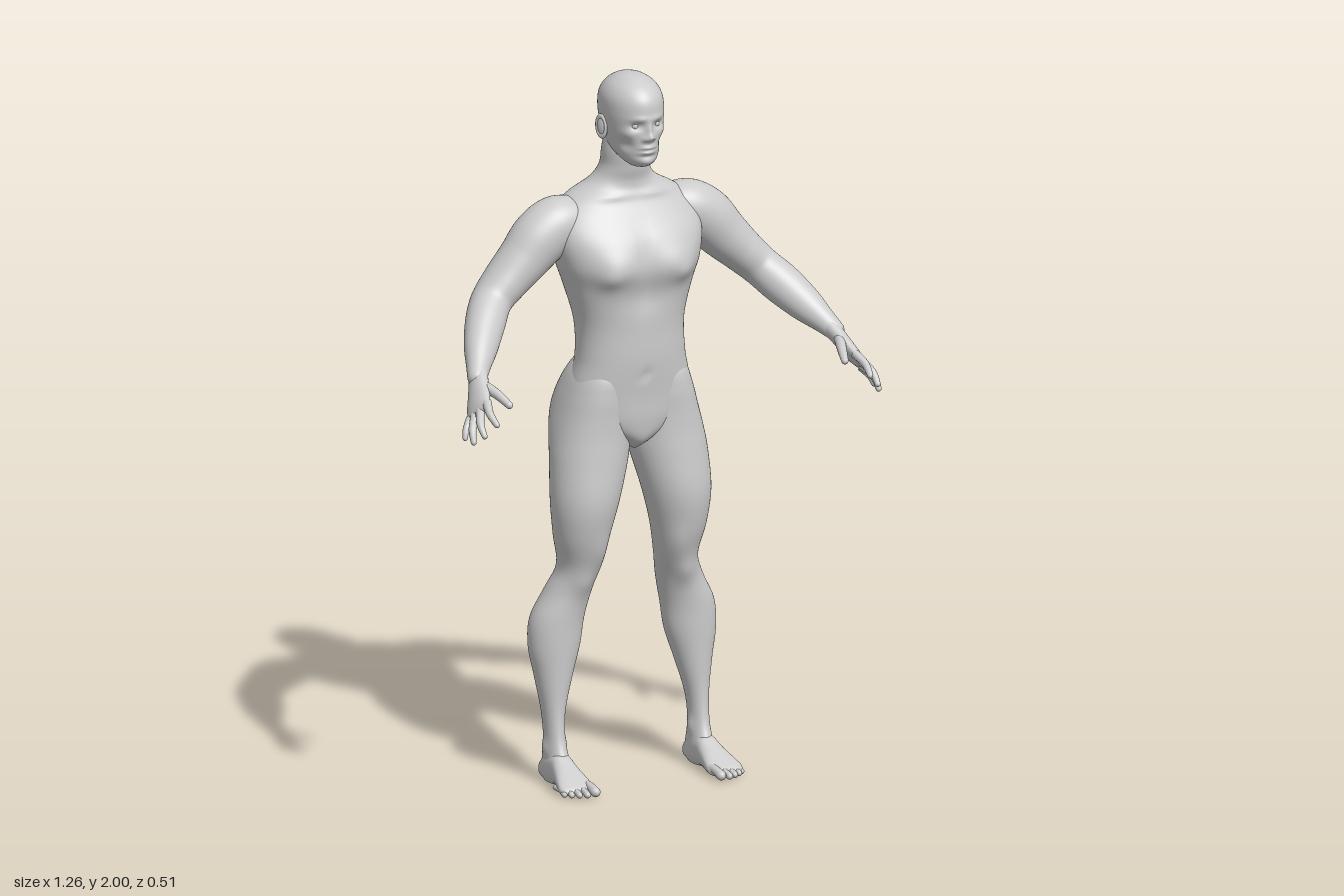
import * as THREE from 'three';

const material = new THREE.MeshStandardMaterial({ color: 0xcccccc, side: THREE.DoubleSide });
const V = (x, y, z) => new THREE.Vector3(x, y, z);

// Catmull-Rom interpolation of rows of numbers
function smooth(rows, sub) {
  const out = [], last = rows.length - 1;
  for (let i = 0; i < last; i++) {
    const [p, a, b, q] = [rows[Math.max(i - 1, 0)], rows[i], rows[i + 1], rows[Math.min(i + 2, last)]];
    for (let k = 0; k < sub; k++) {
      const t = k / sub;
      out.push(a.map((_, n) => 0.5 * (2 * a[n] + (b[n] - p[n]) * t + (2 * p[n] - 5 * a[n] + 4 * b[n] - q[n]) * t * t
        + (3 * a[n] - p[n] - 3 * b[n] + q[n]) * t * t * t)));
    }
  }
  out.push(rows[last]);
  return out;
}

// Skin closed rings of points into one smooth surface
function loft(rings) {
  const n = rings[0].length, pos = [], index = [];
  rings.forEach((ring) => ring.forEach((p) => pos.push(p.x, p.y, p.z)));
  for (let i = 0; i < rings.length - 1; i++) {
    for (let j = 0; j < n; j++) {
      const a = i * n + j, b = i * n + (j + 1) % n;
      index.push(a, a + n, b, b, a + n, b + n);
    }
  }
  const g = new THREE.BufferGeometry();
  g.setAttribute('position', new THREE.Float32BufferAttribute(pos, 3));
  g.setIndex(index);
  g.computeVertexNormals();
  return g;
}

// Rows [station, x0, x1, d0, d1, power]: level rings stacked along y, or upright rings along z
function body(rows, sub, seg, alongZ = false) {
  return loft(smooth(rows, sub).map(([s, x0, x1, d0, d1, p]) => Array.from({ length: seg }, (_, j) => {
    const a = (j / seg) * Math.PI * 2, c = Math.cos(a), w = Math.sin(a);
    const x = (x0 + x1) / 2 + (x1 - x0) / 2 * Math.sign(c) * Math.abs(c) ** p;
    const e = (d1 - d0) / 2 * Math.sign(w) * Math.abs(w) ** p;
    return alongZ ? V(x, (d0 + d1) / 2 - e, s) : V(x, s, (d0 + d1) / 2 + e);
  })));
}

// Rows [x, y, z, radiusAcross, radiusThrough] along a path, with a rounded tip
function limb(rows, across, sub = 5, seg = 16) {
  const path = smooth(rows, sub), n = path.length - 1;
  const at = (i) => V(...path[Math.min(Math.max(i, 0), n)]);
  const rings = [];
  const ring = (i, scale, push) => {
    const t = at(i + 1).sub(at(i - 1)).normalize();
    const side = across.clone().addScaledVector(t, -across.dot(t)).normalize();
    const up = side.clone().cross(t), [, , , ra, rb] = path[i];
    rings.push(Array.from({ length: seg }, (_, j) => {
      const a = (j / seg) * Math.PI * 2;
      return at(i).addScaledVector(t, push * rb).addScaledVector(side, Math.cos(a) * ra * scale)
        .addScaledVector(up, Math.sin(a) * rb * scale);
    }));
  };
  for (let i = 0; i <= n; i++) ring(i, 1, 0);
  for (let k = 1; k <= 4; k++) ring(n, Math.cos(k * Math.PI / 8), Math.sin(k * Math.PI / 8));
  return loft(rings);
}

// Soft bumps [x, y, z, sizeX, sizeY, sizeZ, moveX, moveY, moveZ], mirrored when symmetric
function sculpt(g, bumps, symmetric = true) {
  const p = g.attributes.position;
  for (const [x, y, z, sx, sy, sz, mx, my, mz] of bumps) {
    for (const s of symmetric && x ? [1, -1] : [1]) {
      for (let i = 0; i < p.count; i++) {
        const a = p.getX(i), b = p.getY(i), c = p.getZ(i);
        const f = Math.exp(-(((a - s * x) / sx) ** 2) - ((b - y) / sy) ** 2 - ((c - z) / sz) ** 2);
        p.setXYZ(i, a + s * mx * f, b + my * f, c + mz * f);
      }
    }
  }
  g.computeVertexNormals();
  return g;
}

function mirrored(g) {
  const m = g.clone().scale(-1, 1, 1), ix = m.index.array;
  for (let i = 0; i < ix.length; i += 3) [ix[i], ix[i + 1]] = [ix[i + 1], ix[i]];
  m.computeVertexNormals();
  return m;
}

export function createModel() {
  const model = new THREE.Group();
  model.name = 'humanFigure';
  const add = (name, g) => {
    const mesh = new THREE.Mesh(g, material);
    mesh.name = name;
    model.add(mesh);
  };
  const pair = (name, g) => {
    add(name + 'Left', g);
    add(name + 'Right', mirrored(g));
  };
  const symmetric = (rows) => rows.map(([y, w, zb, zf, p]) => [y, -w, w, zb, zf, p]);

  // Torso from groin to neck, with chest, shoulder blades, spine and belly
  const torso = body(symmetric([
    [0.935, 0.004, -0.11, -0.06, 1], [0.965, 0.05, -0.15, -0.015, 1], [1.02, 0.14, -0.19, 0.0, 0.9],
    [1.1, 0.176, -0.205, 0.005, 0.9], [1.2, 0.158, -0.198, 0.014, 0.9], [1.3, 0.156, -0.212, 0.015, 0.88],
    [1.4, 0.182, -0.232, 0.02, 0.85], [1.47, 0.205, -0.242, 0.025, 0.82], [1.54, 0.217, -0.246, 0.01, 0.82],
    [1.6, 0.21, -0.242, -0.03, 0.85], [1.65, 0.165, -0.232, -0.06, 0.95], [1.69, 0.097, -0.213, -0.068, 1],
    [1.73, 0.07, -0.195, -0.06, 1], [1.78, 0.066, -0.185, -0.055, 1], [1.84, 0.058, -0.17, -0.06, 1],
  ]), 7, 80);
  add('torso', sculpt(torso, [
    [0.1, 1.47, 0.02, 0.07, 0.055, 0.06, 0, 0, 0.022],
    [0.115, 1.44, 0.03, 0.03, 0.025, 0.05, 0, 0, 0.008],
    [0, 1.47, 0.02, 0.02, 0.11, 0.05, 0, 0, -0.008],
    [0, 1.38, 0.02, 0.06, 0.04, 0.05, 0, 0, -0.008],
    [0, 1.16, 0.01, 0.012, 0.012, 0.04, 0, 0, -0.008],
    [0, 1.4, -0.24, 0.025, 0.24, 0.06, 0, 0, 0.02],
    [0.1, 1.56, -0.24, 0.06, 0.08, 0.06, 0, 0, -0.014],
    [0.06, 1.25, -0.2, 0.03, 0.1, 0.05, 0, 0, -0.006],
    [0.07, 1.655, -0.07, 0.06, 0.012, 0.04, 0, 0, 0.006],
  ]));

  // Head with brow, eye sockets, nose, lips, chin and cheeks
  const head = body(symmetric([
    [1.747, 0.002, -0.05, -0.03, 1], [1.752, 0.026, -0.065, 0.002, 1], [1.768, 0.046, -0.1, 0.018, 0.95],
    [1.79, 0.06, -0.15, 0.024, 0.95], [1.82, 0.07, -0.18, 0.027, 0.95], [1.86, 0.078, -0.197, 0.029, 0.95],
    [1.9, 0.083, -0.204, 0.031, 0.97], [1.94, 0.081, -0.199, 0.025, 1], [1.97, 0.066, -0.176, 0.002, 1],
    [1.99, 0.041, -0.143, -0.034, 1], [1.998, 0.019, -0.11, -0.065, 1], [2.0, 0.001, -0.088, -0.086, 1],
  ]), 8, 112);
  add('head', sculpt(head, [
    [0.031, 1.873, 0.02, 0.017, 0.011, 0.04, 0, 0, -0.012],
    [0.026, 1.893, 0.025, 0.022, 0.008, 0.04, 0, 0, 0.004],
    [0, 1.862, 0.03, 0.009, 0.02, 0.04, 0, 0, 0.01],
    [0, 1.841, 0.035, 0.011, 0.011, 0.04, 0, 0, 0.018],
    [0.013, 1.837, 0.03, 0.007, 0.007, 0.03, 0, 0, 0.008],
    [0, 1.811, 0.03, 0.022, 0.006, 0.03, 0, 0, 0.007],
    [0, 1.797, 0.03, 0.019, 0.006, 0.03, 0, 0, 0.007],
    [0, 1.804, 0.035, 0.022, 0.002, 0.03, 0, 0, -0.004],
    [0, 1.785, 0.03, 0.025, 0.006, 0.03, 0, 0, -0.004],
    [0, 1.766, 0.02, 0.02, 0.01, 0.03, 0, 0, 0.005],
    [0.052, 1.85, 0.01, 0.018, 0.014, 0.03, 0.003, 0, 0.004],
    [0.055, 1.815, 0.0, 0.018, 0.016, 0.04, -0.004, 0, -0.004],
  ]));
  pair('eye', new THREE.SphereGeometry(0.012, 20, 14).translate(0.031, 1.872, 0.003));

  // Ears: a shallow bowl with a raised rim
  const placeEar = (g) => g.rotateY(Math.PI / 2 - 0.35).rotateX(-0.15).translate(0.085, 1.853, -0.095);
  pair('earBowl', placeEar(new THREE.SphereGeometry(1, 20, 14).scale(0.016, 0.026, 0.006)));
  pair('earRim', placeEar(new THREE.TorusGeometry(0.017, 0.005, 10, 28).scale(1, 1.6, 1)));

  // Legs from heel to hip, including the buttocks
  const leg = body([
    [0.0, 0.2, 0.24, -0.16, -0.07, 0.9], [0.02, 0.188, 0.25, -0.17, -0.05, 0.9], [0.06, 0.188, 0.25, -0.165, -0.045, 0.95],
    [0.12, 0.193, 0.247, -0.156, -0.07, 1], [0.2, 0.187, 0.251, -0.165, -0.081, 1], [0.3, 0.159, 0.267, -0.19, -0.08, 1],
    [0.38, 0.134, 0.281, -0.206, -0.077, 1], [0.46, 0.121, 0.275, -0.21, -0.074, 1], [0.54, 0.103, 0.235, -0.197, -0.065, 1],
    [0.61, 0.088, 0.208, -0.178, -0.04, 1], [0.7, 0.07, 0.225, -0.176, -0.01, 1], [0.8, 0.043, 0.236, -0.182, 0.008, 1],
    [0.91, 0.013, 0.23, -0.203, 0.002, 0.95], [0.98, 0.003, 0.219, -0.232, -0.003, 0.9], [1.04, 0.002, 0.205, -0.254, -0.004, 0.88],
    [1.1, 0.003, 0.188, -0.246, -0.003, 0.9], [1.16, 0.008, 0.165, -0.216, -0.01, 0.95], [1.23, 0.03, 0.12, -0.16, -0.05, 1],
  ], 5, 56);
  pair('leg', sculpt(leg, [
    [0.152, 0.56, -0.06, 0.03, 0.035, 0.03, 0, 0, 0.008],
    [0.115, 0.66, -0.05, 0.03, 0.05, 0.05, 0, 0, 0.008],
    [0.15, 0.59, -0.185, 0.03, 0.05, 0.03, 0, 0, 0.008],
    [0.19, 0.11, -0.11, 0.015, 0.018, 0.02, -0.007, 0, 0],
    [0.25, 0.1, -0.12, 0.015, 0.018, 0.02, 0.007, 0, 0],
  ], false));

  // Feet and toes
  pair('foot', body([
    [-0.172, 0.21, 0.23, 0.015, 0.03, 0.9], [-0.16, 0.194, 0.246, 0.002, 0.055, 0.85], [-0.12, 0.188, 0.252, 0, 0.085, 0.85],
    [-0.07, 0.188, 0.254, 0, 0.09, 0.85], [-0.03, 0.184, 0.262, 0, 0.07, 0.85], [0.01, 0.178, 0.273, 0, 0.049, 0.8],
    [0.04, 0.176, 0.278, 0, 0.034, 0.8], [0.058, 0.182, 0.268, 0.004, 0.024, 0.85], [0.064, 0.2, 0.25, 0.01, 0.016, 1],
  ], 5, 36, true));
  [[0.191, 0.086, 0.014], [0.216, 0.088, 0.0095], [0.236, 0.079, 0.009], [0.254, 0.068, 0.0085], [0.269, 0.053, 0.008]]
    .forEach(([x, z, r], i) => pair('toe' + (i + 1), limb([
      [x, r + 0.007, z - 0.06, r, r], [x, r + 0.007, z - 0.028, r * 0.9, r * 0.9], [x + 0.001, r + 0.001, z, r, r],
    ], V(1, 0, 0))));

  // Arms from inside the shoulder to the wrist
  pair('arm', limb([
    [0.12, 1.6, -0.145, 0.06, 0.045], [0.19, 1.583, -0.143, 0.078, 0.075], [0.25, 1.546, -0.14, 0.078, 0.08],
    [0.305, 1.49, -0.137, 0.071, 0.071], [0.36, 1.437, -0.133, 0.067, 0.062], [0.41, 1.389, -0.118, 0.06, 0.056],
    [0.452, 1.345, -0.07, 0.054, 0.057], [0.495, 1.296, -0.01, 0.045, 0.049], [0.527, 1.258, 0.04, 0.033, 0.035],
    [0.545, 1.236, 0.07, 0.027, 0.028],
  ], V(0, 0, 1), 7, 48));

  // Hands: palm, four fanned fingers and a thumb
  const across = V(0.46, -0.69, -0.55);
  pair('palm', limb([
    [0.533, 1.25, 0.05, 0.028, 0.026], [0.546, 1.227, 0.08, 0.031, 0.023], [0.56, 1.2, 0.11, 0.038, 0.021],
    [0.574, 1.175, 0.138, 0.043, 0.018], [0.581, 1.163, 0.152, 0.042, 0.013],
  ], across, 5, 28));
  const digits = {
    indexFinger: [[0.562, 1.19, 0.165], [0.573, 1.17, 0.206], [0.57, 1.147, 0.243]],
    middleFinger: [[0.577, 1.17, 0.155], [0.598, 1.143, 0.198], [0.6, 1.115, 0.228]],
    ringFinger: [[0.588, 1.153, 0.145], [0.612, 1.123, 0.178], [0.618, 1.092, 0.197]],
    littleFinger: [[0.596, 1.14, 0.128], [0.617, 1.115, 0.147], [0.624, 1.094, 0.156]],
    thumb: [[0.545, 1.222, 0.1], [0.526, 1.207, 0.155], [0.512, 1.186, 0.203]],
  };
  for (const [name, [a, b, c]] of Object.entries(digits)) {
    const r = name === 'thumb' ? 0.0135 : name === 'littleFinger' ? 0.0095 : 0.011;
    pair(name, limb([[...a, r * 1.25, r * 1.15], [...b, r, r], [...c, r * 0.75, r * 0.75]], across, 6, 16));
  }
  return model;
}
